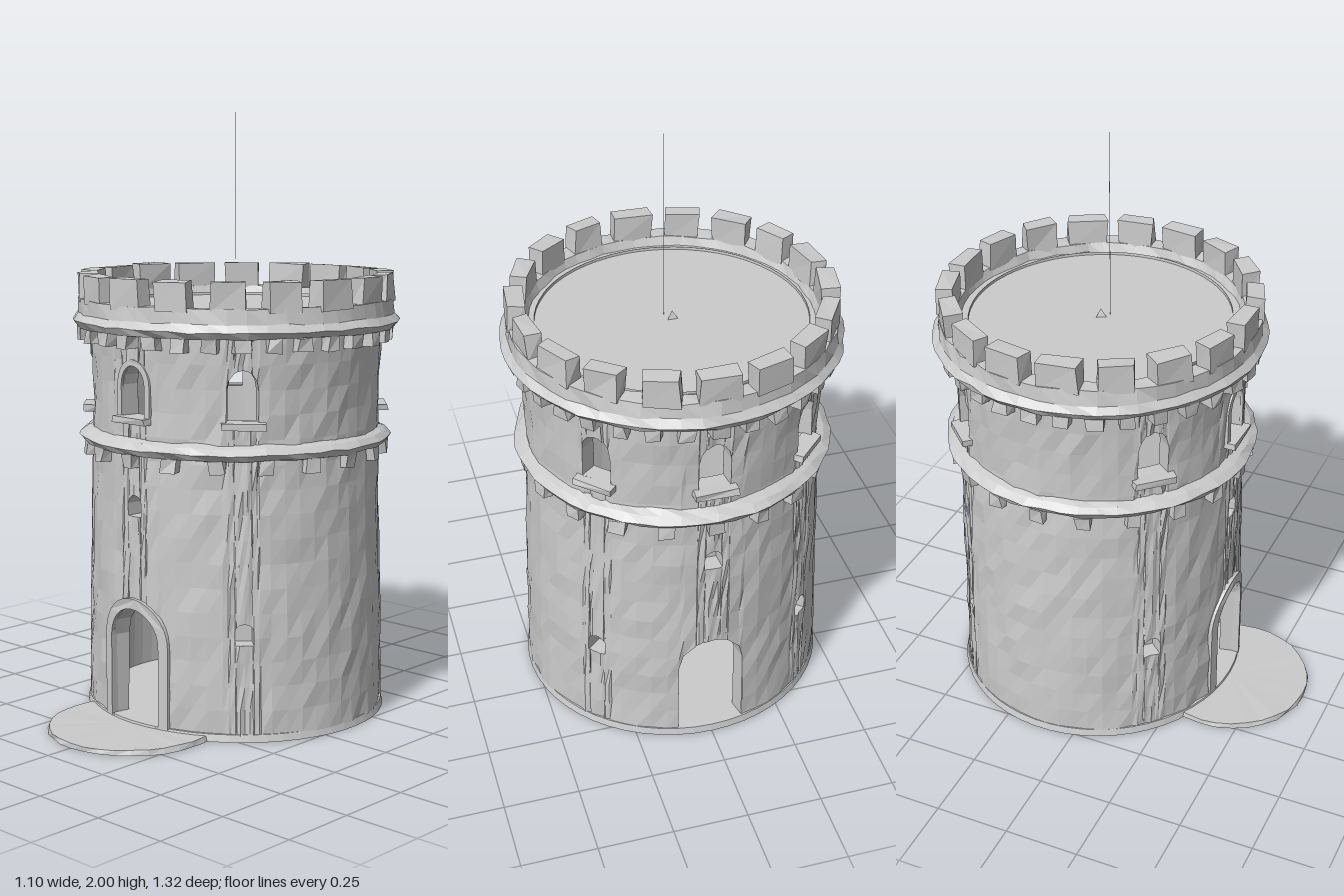
import * as THREE from 'three';

const mat = new THREE.MeshStandardMaterial({ color: 0xcccccc, flatShading: true, side: THREE.DoubleSide });
const TAU = Math.PI * 2;

const hash = (a, b, c = 0) => {
  const s = Math.sin(a * 12.99 + b * 78.23 + c * 37.72) * 43758.55;
  return s - Math.floor(s) - 0.5;
};

function add(parent, name, geo, x = 0, y = 0, z = 0) {
  const mesh = new THREE.Mesh(geo, mat);
  mesh.name = name;
  mesh.position.set(x, y, z);
  parent.add(mesh);
  return mesh;
}

// Shifts vertices a little, the same way wherever positions coincide
function roughen(geo, amount, seed = 0) {
  const p = geo.attributes.position;
  for (let i = 0; i < p.count; i++) {
    const [x, y, z] = [p.getX(i), p.getY(i), p.getZ(i)];
    const k = [x, y, z].map(v => Math.round(v * 1000));
    const n = s => hash(k[0] + seed, k[1] + s, k[2]) * 2 * amount;
    p.setXYZ(i, x + n(1), y + n(2) * 0.6, z + n(3));
  }
  geo.computeVertexNormals();
  return geo;
}

// Wall radii by height: [y, along x, along z]
const PROFILE = [[0, 0.512, 0.485], [0.4, 0.503, 0.482], [0.9, 0.484, 0.477], [1.1, 0.484, 0.477], [1.4, 0.502, 0.492]];
function radii(y) {
  let i = 0;
  while (i < PROFILE.length - 2 && y > PROFILE[i + 1][0]) i++;
  const [a, b] = [PROFILE[i], PROFILE[i + 1]];
  const t = (y - a[0]) / (b[0] - a[0]);
  return [a[1] + (b[1] - a[1]) * t, a[2] + (b[2] - a[2]) * t];
}

// Arched openings: angle, half width in radians, sill, spring line, crown
const openings = [];
const open = (eighth, half, sill, spring, top) =>
  openings.push({ a: eighth * TAU / 8, w: half / 0.49, sill, spring, top });
for (const e of [0, 4]) {
  open(e, 0.108, 0.02, 0.29, 0.4);
  open(e, 0.03, 0.705, 0.745, 0.775);
}
for (const e of [0, 1, 3, 4, 5, 7]) open(e, 0.052, 1.03, 1.13, 1.195);
for (const e of [1, 3, 5, 7]) open(e, 0.03, 0.315, 0.36, 0.385);
const archY = (o, a) => o.spring + (o.top - o.spring) * Math.sqrt(Math.max(0, 1 - ((a - o.a) / o.w) ** 2));

// Hollow wall made of narrow columns that stop at the openings
function wallGeometry(bottom, top, thickness) {
  const start = -0.4, rows = 17, step = (top - bottom) / rows;
  let edges = [start, start + TAU];
  for (let i = 1; i < 60; i++) {
    const a = start + i * TAU / 60;
    if (!openings.some(o => Math.abs(a - o.a) < o.w + 0.02)) edges.push(a);
  }
  for (const o of openings) for (const t of [-1, -0.87, -0.5, 0, 0.5, 0.87, 1]) edges.push(o.a + o.w * t);
  edges = edges.sort((a, b) => a - b).filter((a, i, l) => i === 0 || a - l[i - 1] > 1e-4);
  const count = edges.length - 1, pos = [];

  const point = (i, y, inner) => {
    const f = Math.min((y - bottom) / step, rows), r0 = Math.floor(f), c = i % count;
    const n = (hash(c, r0) * (1 - f + r0) + hash(c, r0 + 1) * (f - r0)) * 0.009;
    const [rx, rz] = radii(y), d = inner ? -thickness : n;
    return [(rx + d) * Math.sin(edges[i]), y, (rz + d) * Math.cos(edges[i])];
  };
  const quad = (a, b, c, d) => pos.push(...a, ...b, ...c, ...a, ...c, ...d);

  for (let i = 0; i < count; i++) {
    const j = i + 1, mid = (edges[i] + edges[j]) / 2;
    const holes = openings.filter(o => Math.abs(mid - o.a) < o.w).sort((p, q) => p.sill - q.sill);
    let low = [bottom, bottom];
    for (const o of [...holes, null]) {
      const high = o ? [o.sill, o.sill] : [top, top];
      for (let r = 0; r < rows; r++) {
        const clip = (v, s) => Math.min(Math.max(v, low[s]), high[s]);
        const y0 = bottom + r * step, y1 = y0 + step;
        const [a, b, c, d] = [clip(y0, 0), clip(y0, 1), clip(y1, 1), clip(y1, 0)];
        if (d - a < 1e-6 && c - b < 1e-6) continue;
        quad(point(i, a), point(j, b), point(j, c), point(i, d));
        quad(point(j, b, true), point(i, a, true), point(i, d, true), point(j, c, true));
      }
      if (!o) break;
      // Sill, soffit and jambs of the opening
      low = [archY(o, edges[i]), archY(o, edges[j])];
      quad(point(i, o.sill), point(j, o.sill), point(j, o.sill, true), point(i, o.sill, true));
      quad(point(j, low[1]), point(i, low[0]), point(i, low[0], true), point(j, low[1], true));
      for (const [k, side] of [[i, -1], [j, 1]]) {
        if (Math.abs(edges[k] - o.a - side * o.w) > 1e-3) continue;
        quad(point(k, o.sill), point(k, o.sill, true), point(k, o.spring, true), point(k, o.spring));
      }
    }
  }
  const geo = new THREE.BufferGeometry();
  geo.setAttribute('position', new THREE.Float32BufferAttribute(pos, 3));
  geo.computeVertexNormals();
  return geo;
}

// Raised arch around an opening, bent to follow the wall
function surroundGeometry(half, sill, spring, top, border, depth) {
  const arch = (w, h, Type) => {
    const s = new Type();
    s.moveTo(-w, sill);
    s.lineTo(w, sill);
    s.lineTo(w, spring);
    s.absellipse(0, spring, w, h, 0, Math.PI, false, 0);
    s.lineTo(-w, sill);
    return s;
  };
  const shape = arch(half + border, top - spring + border, THREE.Shape);
  shape.holes.push(arch(half, top - spring, THREE.Path));
  const geo = new THREE.ExtrudeGeometry(shape, { depth, bevelEnabled: false, curveSegments: 12 });
  const p = geo.attributes.position;
  for (let i = 0; i < p.count; i++) p.setZ(i, p.getZ(i) - p.getX(i) ** 2);
  geo.computeVertexNormals();
  return geo;
}

const ring = points => roughen(new THREE.LatheGeometry(points.map(p => new THREE.Vector2(...p)), 54), 0.005);

// Blocks spaced evenly round the tower
function blocks(parent, name, count, radius, y, size) {
  const group = new THREE.Group();
  group.name = name;
  for (let i = 0; i < count; i++) {
    const a = i * TAU / count, width = size[0] * (1 + hash(i, count) * 0.25);
    const geo = roughen(new THREE.BoxGeometry(width, size[1], size[2]), 0.006, i * 7 + 1);
    add(group, 'block', geo, radius * Math.sin(a), y, radius * Math.cos(a)).rotation.y = a;
  }
  parent.add(group);
}

export function createModel() {
  const model = new THREE.Group();
  model.name = 'tower';
  const tower = new THREE.Group();
  tower.name = 'roundTower';
  tower.position.z = -0.112;
  model.add(tower);

  // Ground slab and doorstep
  add(tower, 'baseSlab', new THREE.CylinderGeometry(0.512, 0.518, 0.024, 54), 0, 0.012).scale.z = 0.96;
  add(tower, 'doorstep', roughen(new THREE.CylinderGeometry(0.275, 0.278, 0.016, 32), 0.003), 0, 0.0095, 0.493);

  add(tower, 'wall', wallGeometry(0.02, 1.37, 0.06));

  // Door and window trim
  add(tower, 'doorSurround', surroundGeometry(0.108, 0.02, 0.29, 0.4, 0.035, 0.04), 0, 0, 0.455);
  add(tower, 'windowSurround', surroundGeometry(0.052, 1.03, 1.13, 1.195, 0.02, 0.03), 0, 0, 0.457);
  for (const o of openings) {
    const r = radii(o.sill), dir = [Math.sin(o.a), Math.cos(o.a)];
    if (o.sill > 1) {
      const sill = add(tower, 'windowSill', roughen(new THREE.BoxGeometry(0.14, 0.022, 0.06), 0.004, o.a),
        dir[0] * r[0], 1.02, dir[1] * r[1]);
      sill.rotation.y = o.a;
    } else if (o.sill > 0.1) {
      const back = add(tower, 'nicheBack', new THREE.BoxGeometry(0.09, 0.11, 0.01),
        dir[0] * (r[0] - 0.065), (o.sill + o.top) / 2, dir[1] * (r[1] - 0.065));
      back.rotation.y = o.a;
    }
  }

  // Middle ledge with its blocks
  add(tower, 'middleLedge', ring([[0.47, 0.905], [0.51, 0.912], [0.525, 0.932], [0.503, 0.95], [0.475, 0.962]]));
  blocks(tower, 'ledgeBlocks', 20, 0.488, 0.89, [0.05, 0.045, 0.045]);

  // Parapet, corbels and battlements
  add(tower, 'parapet', ring([[0.47, 1.29], [0.535, 1.296], [0.551, 1.318], [0.532, 1.342],
    [0.526, 1.39], [0.47, 1.39], [0.455, 1.35]]));
  blocks(tower, 'corbels', 32, 0.505, 1.275, [0.05, 0.045, 0.05]);
  blocks(tower, 'merlons', 18, 0.497, 1.425, [0.122, 0.095, 0.058]);

  // Roof deck with a small boss and a hair-thin pole
  add(tower, 'roofDeck', new THREE.CylinderGeometry(0.468, 0.468, 0.02, 54), 0, 1.35);
  add(tower, 'deckBoss', new THREE.ConeGeometry(0.022, 0.03, 3), 0, 1.372);
  add(tower, 'pole', new THREE.CylinderGeometry(0.001, 0.001, 0.64, 4), 0.02, 1.68, 0.025);
  return model;
}
